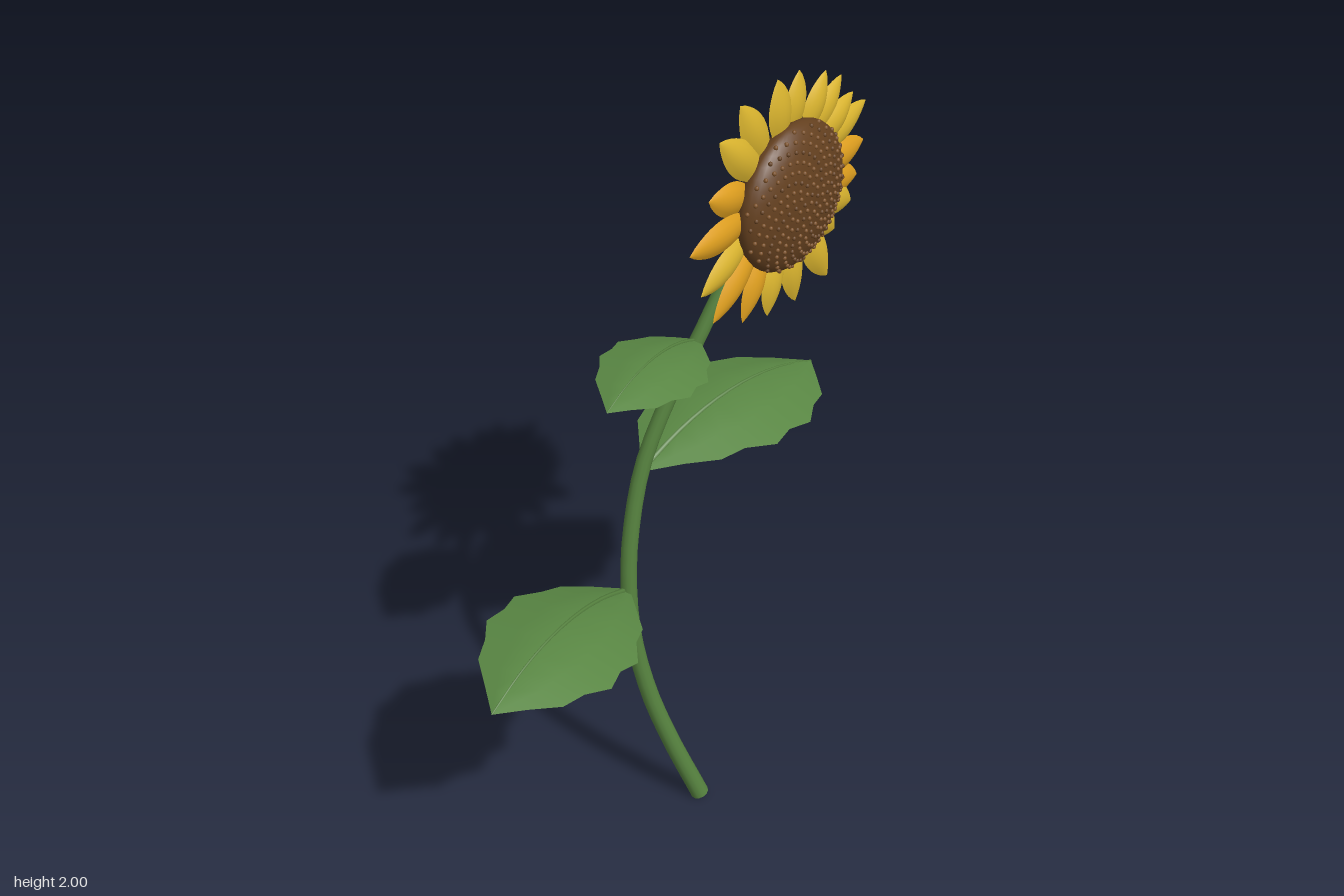
import * as THREE from 'three';

const mat = (name, color, side = THREE.FrontSide) => {
  const m = new THREE.MeshStandardMaterial({ color, side });
  m.name = name;
  return m;
};

// Surface from rows (u) by columns (v), with smooth normals
function gridSurface(rows, cols, point) {
  const pos = [], index = [];
  for (let i = 0; i <= rows; i++) {
    for (let j = 0; j <= cols; j++) pos.push(...point(i / rows, (j / cols) * 2 - 1));
  }
  for (let i = 0; i < rows; i++) {
    for (let j = 0; j < cols; j++) {
      const a = i * (cols + 1) + j, b = a + cols + 1;
      index.push(a, a + 1, b, b, a + 1, b + 1);
    }
  }
  const g = new THREE.BufferGeometry();
  g.setAttribute('position', new THREE.Float32BufferAttribute(pos, 3));
  g.setIndex(index);
  g.computeVertexNormals();
  return g;
}

// Tube whose radius narrows from r0 to r1
function taperedTube(curve, segments, r0, r1, sides) {
  const g = new THREE.TubeGeometry(curve, segments, 1, sides);
  const p = g.attributes.position, v = new THREE.Vector3();
  for (let i = 0; i < p.count; i++) {
    const t = Math.floor(i / (sides + 1)) / segments;
    const c = curve.getPointAt(t);
    v.fromBufferAttribute(p, i).sub(c).multiplyScalar(r0 + (r1 - r0) * t).add(c);
    p.setXYZ(i, v.x, v.y, v.z);
  }
  return g;
}

// Half widths along a toothed leaf
const LEAF_WIDTH = [0.012, 0.07, 0.13, 0.15, 0.195, 0.182, 0.195, 0.155, 0.132, 0.066, 0];
const ribPoint = (t) => [0.58 * t, 0.04 * t + 0.28 * t * (1 - t), 0.075 * t];

export function createModel() {
  const model = new THREE.Group();
  model.name = 'sunflower';
  const stemGreen = mat('stem green', 0x56823f);
  const leafGreen = mat('leaf green', 0x5a8844, THREE.DoubleSide);
  const yellow = mat('petal yellow', 0xdcb62f, THREE.DoubleSide);
  const orange = mat('petal orange', 0xe0a01f, THREE.DoubleSide);
  const brown = mat('disc brown', 0x64401f);
  const seedBrown = mat('seed brown', 0x7a4f26);

  const add = (parent, name, geometry, material) => {
    const m = new THREE.Mesh(geometry, material);
    m.name = name;
    parent.add(m);
    return m;
  };

  // Curved stem with a cap at the foot
  const stemCurve = new THREE.CatmullRomCurve3([
    [0.034, 0.006, 0.11], [-0.02, 0.2, 0.055], [-0.057, 0.37, 0.012], [-0.078, 0.55, -0.02],
    [-0.078, 0.7, -0.035], [-0.062, 0.85, -0.042], [-0.02, 1.04, -0.038], [0.04, 1.2, -0.015],
    [0.115, 1.37, 0.024], [0.175, 1.5, 0.052], [0.235, 1.6, 0.08],
  ].map((p) => new THREE.Vector3(...p)));
  add(model, 'stem', taperedTube(stemCurve, 28, 0.024, 0.017, 12), stemGreen);
  const foot = add(model, 'stemFoot', new THREE.CircleGeometry(0.024, 12), stemGreen);
  foot.position.copy(stemCurve.getPointAt(0));
  foot.lookAt(foot.position.clone().sub(stemCurve.getTangentAt(0)));

  // Arched leaves, folded along a raised midrib
  const bladeGeo = gridSurface(10, 4, (t, v) => {
    const [x, y, z] = ribPoint(t);
    const w = LEAF_WIDTH[Math.round(t * 10)] * v;
    return [x, y - Math.abs(w) * 0.21, z + w];
  });
  const ribCurve = new THREE.CatmullRomCurve3(
    [0, 0.2, 0.4, 0.6, 0.8, 1].map((t) => new THREE.Vector3(...ribPoint(t))));
  const ribGeo = taperedTube(ribCurve, 14, 0.007, 0.002, 6);
  [
    ['lowerLeaf', [-0.082, 0.7, -0.038], 1, -1],
    ['middleLeaf', [-0.012, 1.035, -0.038], 1, 1],
    ['upperLeaf', [0.118, 1.362, 0.02], 0.68, -1],
  ].forEach(([name, base, scale, side]) => {
    const leaf = new THREE.Group();
    leaf.name = name;
    add(leaf, 'leafBlade', bladeGeo, leafGreen);
    add(leaf, 'leafRib', ribGeo, stemGreen);
    leaf.position.set(...base);
    leaf.scale.set(scale * side, scale, scale);
    model.add(leaf);
  });

  // Flower head
  const head = new THREE.Group();
  head.name = 'flowerHead';
  head.position.set(0.33, 1.69, 0.12);
  model.add(head);

  const disc = add(head, 'seedDisc', new THREE.SphereGeometry(0.185, 32, 20), brown);
  disc.scale.z = 0.36;

  // Seeds spiral over the front of the disc
  const seedGeo = new THREE.IcosahedronGeometry(0.0055, 1);
  const seeds = new THREE.Group();
  seeds.name = 'seeds';
  const seedCount = 230;
  for (let i = 0; i < seedCount; i++) {
    const r = 0.183 * Math.sqrt((i + 0.5) / seedCount), a = i * 2.39996;
    const z = 0.36 * Math.sqrt(0.185 ** 2 - r * r);
    const seed = add(seeds, 'seed', seedGeo, i % 3 ? seedBrown : brown);
    seed.position.set(r * Math.cos(a), r * Math.sin(a), z);
  }
  head.add(seeds);

  // Cupped petals: angle in degrees, tip radius, orange or not
  const petalGeo = gridSurface(12, 6, (t, v) => {
    const w = 0.045 * Math.pow(Math.sin(Math.PI * Math.pow(0.1 + 0.9 * t, 1.05)), 0.8);
    return [-v * (t === 1 ? 0 : w), t, 0.016 * (1 - v * v) * Math.sin(Math.PI * t)];
  });
  [
    [2, 0.31, 1], [19, 0.338, 0], [32, 0.3, 0], [46, 0.304, 0], [62, 0.295, 0], [82, 0.3, 0],
    [99, 0.314, 0], [121, 0.345, 0], [137, 0.354, 0], [160, 0.304, 1], [180, 0.36, 1],
    [203, 0.336, 0], [219, 0.348, 1], [242, 0.318, 1], [259, 0.31, 0], [281, 0.33, 0],
    [301, 0.36, 0], [318, 0.29, 0], [333, 0.304, 0], [345, 0.31, 1],
  ].forEach(([deg, tip, isOrange], i) => {
    const a = THREE.MathUtils.degToRad(deg);
    const petal = add(head, 'petal', petalGeo, isOrange ? orange : yellow);
    petal.position.set(0.14 * Math.cos(a), 0.14 * Math.sin(a), i % 2 ? -0.018 : -0.012);
    petal.rotation.z = a - Math.PI / 2;
    petal.scale.set(0.95, tip - 0.14, 1);
  });

  return model;
}
